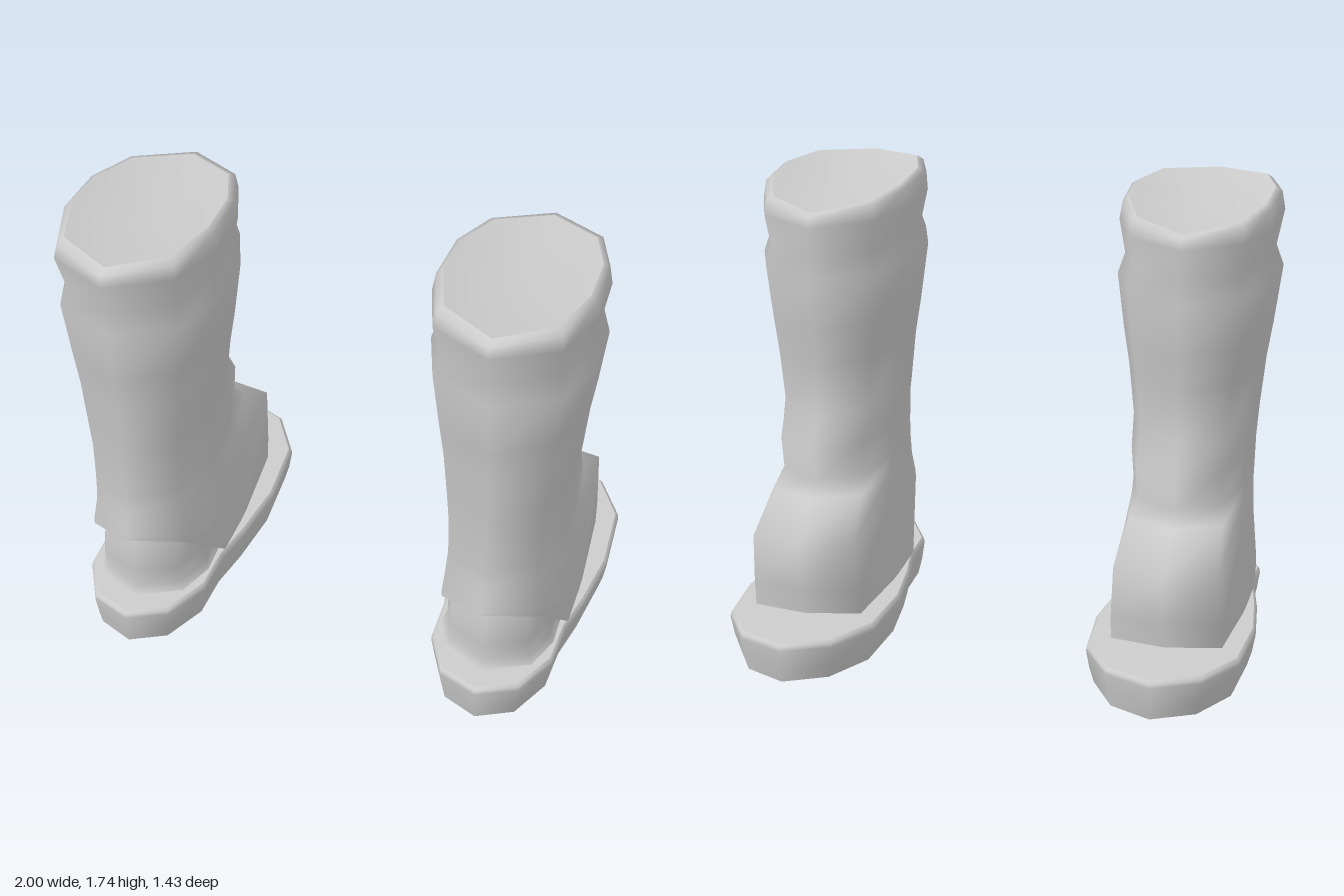
import * as THREE from 'three';

const rubber = new THREE.MeshStandardMaterial({ color: 0xcccccc, side: THREE.DoubleSide });
rubber.name = 'grey rubber';

// Mirror half an outline (back point to front point) into a closed loop
const mirrorLoop = half => [
  ...half,
  ...half.slice(1, -1).reverse().map(([x, y, z]) => [-x, y, z]),
];

// Skin over loops listed from bottom to top
function loft(loops) {
  const n = loops[0].length, index = [];
  for (let r = 0; r < loops.length - 1; r++) {
    for (let i = 0; i < n; i++) {
      const a = r * n + i, b = r * n + (i + 1) % n;
      index.push(a, b, b + n, a, b + n, a + n);
    }
  }
  return surface(loops.flat(), index);
}

// Fan that closes a loop, with its middle moved by lift
function cap(loop, lift, facesUp) {
  const n = loop.length, index = [];
  const mid = [0, 1, 2].map(k => loop.reduce((s, p) => s + p[k], 0) / n);
  mid[1] += lift;
  for (let i = 0; i < n; i++) {
    const j = (i + 1) % n;
    index.push(...(facesUp ? [i, j, n] : [j, i, n]));
  }
  return surface([...loop, mid], index);
}

function surface(points, index) {
  const g = new THREE.BufferGeometry();
  g.setAttribute('position', new THREE.Float32BufferAttribute(points.flat(), 3));
  g.setIndex(index);
  g.computeVertexNormals();
  return g;
}

// Ten-sided leg section; toe = 1 squares off the front corners
function section(back, front, width, yBack, yFront, toe = 0, heights = null) {
  const fx = [0, 0.77, 1, 0.97, 0.72 + 0.13 * toe, 0];
  const fz = [0, 0.14, 0.38, 0.63, 0.85 + 0.11 * toe, 1];
  return mirrorLoop(fx.map((f, i) => [
    f * width,
    heights ? heights[i] : yBack + (yFront - yBack) * fz[i],
    back + (front - back) * fz[i],
  ]));
}

function createBoot() {
  const boot = new THREE.Group();
  const add = (name, geometry) => {
    const mesh = new THREE.Mesh(geometry, rubber);
    mesh.name = name;
    boot.add(mesh);
  };

  // Sole: narrow heel, waist and broad pointed toe
  const outline = [
    [0, 0.715], [0.15, 0.645], [0.235, 0.47], [0.24, 0.28], [0.275, 0.1],
    [0.305, -0.15], [0.285, -0.44], [0.175, -0.63], [0, -0.715],
  ];
  const soleRing = ([y, sx, sz]) => mirrorLoop(outline.map(([x, z]) => [x * sx, y, z * sz]));
  const soleRings = [[0, 0.9, 0.97], [0.06, 0.96, 0.985], [0.13, 1, 1], [0.145, 0.995, 0.997], [0.155, 0.96, 0.98]].map(soleRing);
  add('sole', loft(soleRings));
  add('soleTop', cap(soleRings.at(-1), 0, true));
  add('soleBottom', cap(soleRings[0], 0, false));

  // Heel counter tucked under the raised back of the upper
  add('heel', loft([
    section(0.61, 0, 0.22, 0.15, 0.15),
    section(0.58, 0, 0.2, 0.18, 0.18),
    section(0.6, 0, 0.2, 0.27, 0.25),
    section(0.59, 0, 0.19, 0.42, 0.4),
    section(0.56, 0.02, 0.17, 0.5, 0.5),
  ]));

  // Foot and shaft, from the slanted lower edge to the rim
  const upper = [
    section(0.665, -0.4, 0.245, 0, 0, 1, [0.48, 0.4, 0.17, 0.15, 0.15, 0.15]),
    section(0.66, -0.41, 0.245, 0, 0, 1, [0.49, 0.43, 0.29, 0.25, 0.25, 0.25]),
    section(0.655, -0.445, 0.23, 0.52, 0.45, 1),
    section(0.64, -0.29, 0.22, 0.59, 0.58, 0.6),
    section(0.63, -0.235, 0.22, 0.65, 0.63, 0.1),
    section(0.632, -0.275, 0.225, 0.78, 0.76),
    section(0.635, -0.18, 0.23, 0.9, 0.87),
    section(0.645, -0.2, 0.25, 1.08, 1.08),
    section(0.66, -0.215, 0.272, 1.22, 1.22),
    section(0.69, -0.235, 0.3, 1.45, 1.42),
    section(0.67, -0.225, 0.272, 1.53, 1.5),
    section(0.72, -0.25, 0.297, 1.67, 1.62),
    section(0.705, -0.238, 0.285, 0, 0, 0, [1.71, 1.715, 1.72, 1.71, 1.685, 1.66]),
    section(0.67, -0.205, 0.262, 0, 0, 0, [1.725, 1.735, 1.735, 1.72, 1.695, 1.67]),
  ];
  add('shaft', loft(upper));
  // Shallow dished lining inside the rim
  add('lining', cap(upper.at(-1), -0.06, true));
  return boot;
}

export function createModel() {
  const model = new THREE.Group();
  model.name = 'bootPair';
  for (const side of [1, -1]) {
    const boot = createBoot();
    boot.name = side > 0 ? 'leftBoot' : 'rightBoot';
    boot.position.x = side * 0.693;
    model.add(boot);
  }
  return model;
}
